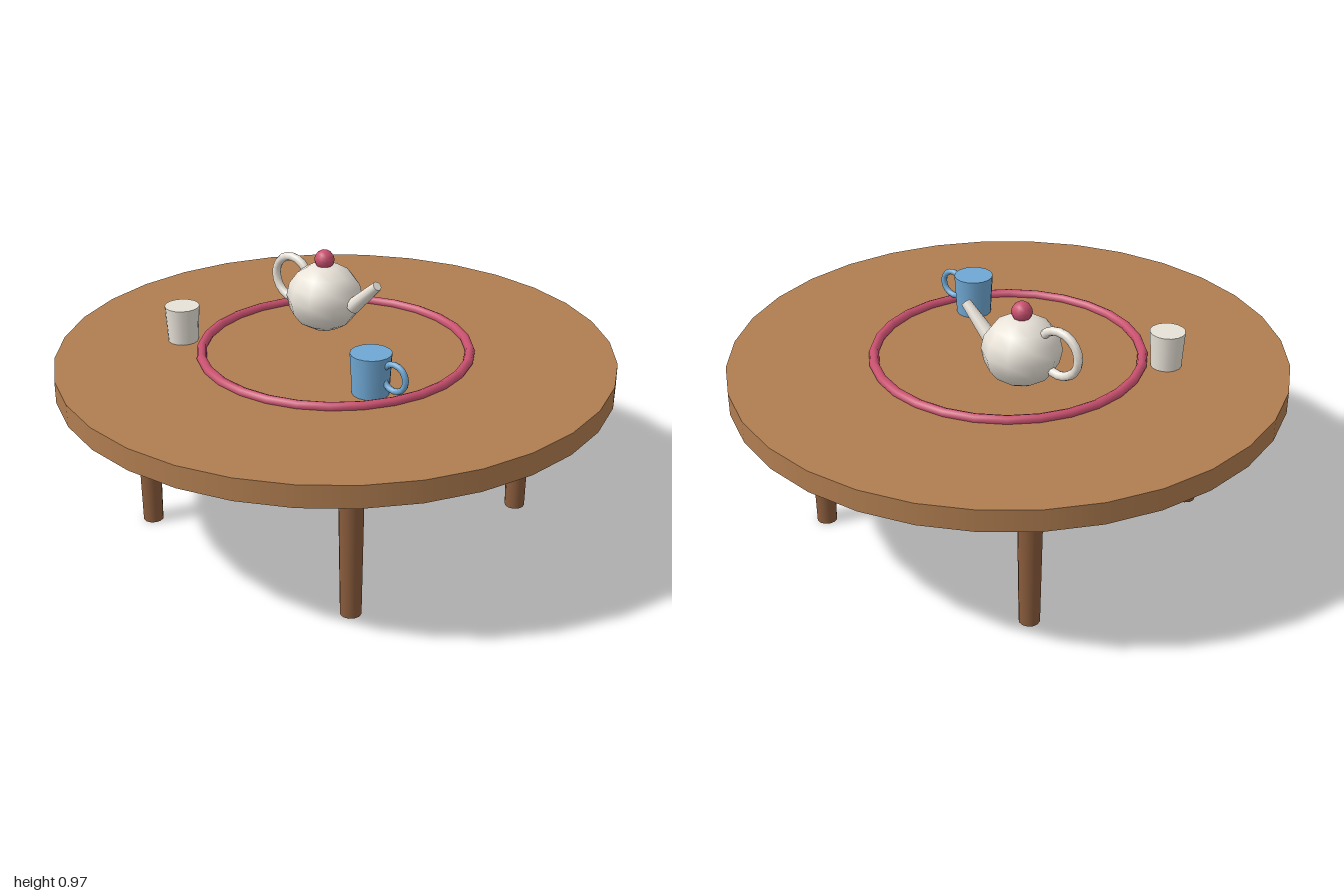
import * as THREE from 'three';

const material = (color) => new THREE.MeshStandardMaterial({ color });

export function createModel() {
  const model = new THREE.Group();
  const topWood = material(0xb07d50);
  const legWood = material(0x8a5c3c);
  const cream = material(0xe8e2d8);
  const pink = material(0xc8506e);
  const blue = material(0x6fa8d4);

  const add = (name, geometry, mat, x, y, z, parent = model) => {
    const mesh = new THREE.Mesh(geometry, mat);
    mesh.name = name;
    mesh.position.set(x, y, z);
    parent.add(mesh);
    return mesh;
  };
  const group = (name, x, y, z) => {
    const g = new THREE.Group();
    g.name = name;
    g.position.set(x, y, z);
    model.add(g);
    return g;
  };

  // Table: round top and four tapered legs ending just below it
  const topY = 0.664;
  add('tableTop', new THREE.CylinderGeometry(1, 1, 0.08, 32), topWood, 0, topY - 0.04, 0);
  const legGeometry = new THREE.CylinderGeometry(0.045, 0.037, 0.568, 12);
  for (const [side, x] of [['left', 0.484], ['right', -0.484]]) {
    for (const [end, z] of [['Front', 0.484], ['Back', -0.484]]) {
      add(side + end + 'Leg', legGeometry, legWood, x, 0.284, z);
    }
  }

  // Decorative ring lying on the table top
  const ring = add('tableRing', new THREE.TorusGeometry(0.481, 0.018, 8, 28), pink, 0, 0.671, 0);
  ring.rotation.x = Math.PI / 2;

  // Teapot: slightly flattened body, knob, loop handle and slanted spout
  const teapot = group('teapot', -0.165, topY, -0.13);
  const body = add('teapotBody', new THREE.SphereGeometry(0.141, 10, 8), cream, 0, 0.127, 0, teapot);
  body.scale.y = 0.9;
  add('teapotKnob', new THREE.SphereGeometry(0.037, 10, 8), pink, 0, 0.27, 0, teapot);
  add('teapotHandle', new THREE.TorusGeometry(0.082, 0.016, 8, 20), cream, -0.158, 0.161, 0, teapot);
  const spout = add('teapotSpout', new THREE.CylinderGeometry(0.018, 0.029, 0.157, 10), cream, 0.192, 0.175, 0, teapot);
  spout.rotation.z = -0.81;

  // Mug with a loop handle on its left
  const mug = group('mug', 0.32, topY, 0.19);
  add('mugBody', new THREE.CylinderGeometry(0.072, 0.064, 0.147, 16), blue, 0, 0.0735, 0, mug);
  add('mugHandle', new THREE.TorusGeometry(0.048, 0.011, 8, 16), blue, 0.1, 0.083, 0, mug);

  // Plain cup without a handle
  add('cup', new THREE.CylinderGeometry(0.063, 0.055, 0.133, 16), cream, -0.485, topY + 0.0665, 0.287);

  return model;
}
